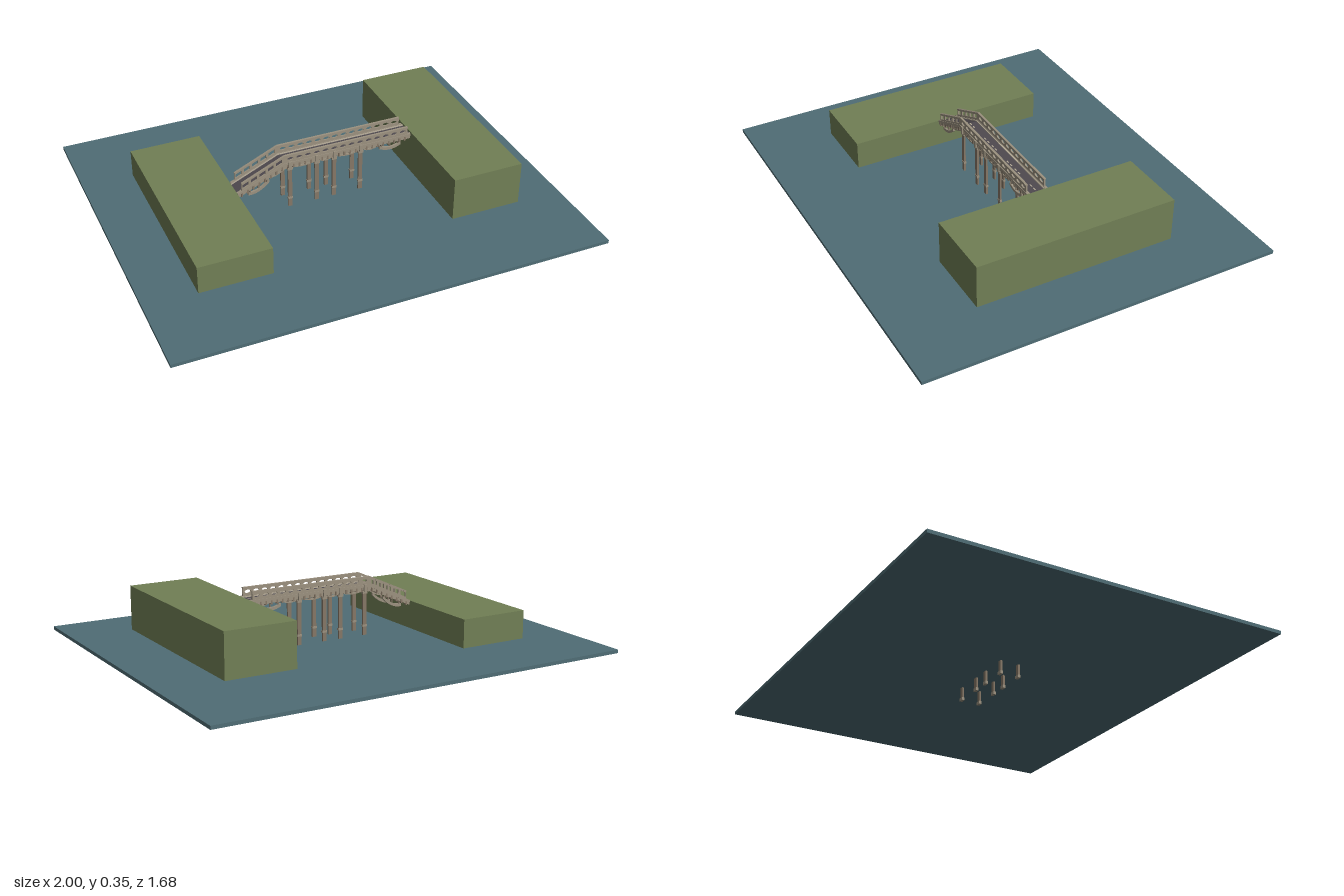
import * as THREE from 'three';

const mat = (name, color) => {
  const m = new THREE.MeshStandardMaterial({ color });
  m.name = name;
  return m;
};

// Road height: a ramp on the low bank, then level
const BEND = -0.2;
const roadY = (x) => 0.31 + (x < BEND ? 0.45 * (x - BEND) : 0);

export function createModel() {
  const water = mat('water', 0x4f6d75);
  const land = mat('land', 0x717f55);
  const stone = mat('stone', 0x9b917f);
  const darkStone = mat('dark stone', 0x857766);
  const asphalt = mat('asphalt', 0x4f4a4f);
  const paint = mat('road paint', 0xb5ab98);

  const model = new THREE.Group();
  model.name = 'bridgeScene';

  const add = (name, geo, material, x = 0, y = 0, z = 0) => {
    const mesh = new THREE.Mesh(geo, material);
    mesh.name = name;
    mesh.position.set(x, y, z);
    model.add(mesh);
    return mesh;
  };
  const box = (name, material, w, h, d, x, y, z) =>
    add(name, new THREE.BoxGeometry(w, h, d), material, x, y, z);
  const extrude = (name, shape, material, z, depth) => {
    const geo = new THREE.ExtrudeGeometry(shape, { depth, bevelEnabled: false, curveSegments: 8 });
    return add(name, geo, material, 0, 0, z - depth / 2);
  };

  // Outline that follows the road between two offsets
  const bandShape = (x0, x1, lo, hi) => {
    const xs = x0 < BEND && x1 > BEND ? [x0, BEND, x1] : [x0, x1];
    const pts = xs.map((x) => new THREE.Vector2(x, roadY(x) + lo));
    xs.reverse().forEach((x) => pts.push(new THREE.Vector2(x, roadY(x) + hi)));
    return new THREE.Shape(pts);
  };
  const band = (name, material, x0, x1, lo, hi, z, depth) =>
    extrude(name, bandShape(x0, x1, lo, hi), material, z, depth);

  // Water and the two banks
  box('water', water, 2, 0.016, 1.68, 0, 0.072, 0);
  box('lowBank', land, 0.335, 0.133, 0.945, -0.5925, 0.1455, 0);
  box('highBank', land, 0.332, 0.205, 0.945, 0.59, 0.2175, 0);

  // Road deck, kerbs and lane dashes
  band('road', asphalt, -0.425, 0.425, -0.014, 0, 0, 0.084);
  const dashes = [-0.38, -0.362];
  for (const c of [-0.21, 0, 0.21]) for (const d of [-0.05, -0.02, 0.02, 0.05]) dashes.push(c + d);
  dashes.push(0.366, 0.394);
  for (const x of dashes) band('laneDash', paint, x - 0.008, x + 0.008, 0.0005, 0.0015, 0, 0.006);

  // Crescent rib hanging under the deck; it follows the slope
  const crescent = (x0, x1, top, sag, thick) => {
    const n = 10;
    const outer = [];
    const inner = [];
    for (let i = 0; i <= n; i++) {
      const t = i / n;
      const x = x0 + (x1 - x0) * t;
      const y = roadY(x) + top - sag * 4 * t * (1 - t);
      outer.push(new THREE.Vector2(x, y - thick));
      inner.unshift(new THREE.Vector2(x, y));
    }
    return new THREE.Shape([...outer, ...inner]);
  };

  const pileX = [-0.175, -0.045, 0.04, 0.17];

  for (const s of [1, -1]) {
    const z = s * 0.045;
    band('kerb', paint, -0.425, 0.425, -0.002, 0.004, s * 0.037, 0.006);

    // Pierced parapet
    const parapet = bandShape(-0.405, 0.405, 0, 0.043);
    for (let i = 0; i < 14; i++) {
      const hole = new THREE.Path();
      hole.absellipse(-0.172 + i * 0.0425, roadY(0) + 0.024, 0.015, 0.008, 0, Math.PI * 2, true);
      parapet.holes.push(hole);
    }
    for (let i = 0; i < 5; i++) {
      const x = -0.386 + i * 0.04;
      const hole = bandShape(x - 0.014, x + 0.014, 0.014, 0.034);
      parapet.holes.push(new THREE.Path(hole.getPoints().reverse()));
    }
    extrude('parapet', parapet, stone, z, 0.007);
    band('handrail', stone, -0.405, 0.405, 0.04, 0.045, z, 0.011);
    band('parapetFoot', stone, -0.425, 0.42, -0.004, 0.006, z, 0.013);

    // Fascia girder with small brackets
    band('fascia', stone, -0.425, 0.42, -0.018, -0.004, z, 0.009);
    for (let i = 0; i < 30; i++) {
      const x = -0.405 + i * 0.0275;
      band('bracket', darkStone, x - 0.004, x + 0.004, -0.024, -0.006, z, 0.013);
    }

    // Scalloped arches between the piles and hanging ribs beyond them
    for (const [a, b] of [[-0.27, -0.19], [-0.16, -0.06], [-0.03, 0.025], [0.055, 0.155], [0.185, 0.25]]) {
      extrude('scallop', crescent(a, b, -0.016, 0.007, 0.007), stone, z, 0.009);
    }
    for (const [a, b] of [[-0.375, -0.275], [0.265, 0.37]]) {
      extrude('hangingRib', crescent(a, b, -0.025, 0.014, 0.014), stone, z, 0.01);
      for (const x of [a + 0.01, (a + b) / 2, b - 0.01]) {
        band('ribHanger', darkStone, x - 0.003, x + 0.003, -0.036, -0.016, z, 0.007);
      }
    }

    // Piles with a cap, a collar and a foot
    for (const x of pileX) {
      box('pile', darkStone, 0.019, 0.285, 0.009, x, 0.1475, z);
      box('pileCap', stone, 0.025, 0.012, 0.015, x, 0.282, z);
      box('pileCollar', stone, 0.023, 0.01, 0.012, x, 0.125, z);
      box('pileFoot', stone, 0.024, 0.014, 0.013, x, 0.007, z);
      box('pileButtress', stone, 0.014, 0.035, 0.008, x, 0.302, s * 0.052);
    }
  }

  // Cross beams under the deck
  for (const x of pileX) box('crossBeam', darkStone, 0.014, 0.012, 0.085, x, 0.286, 0);

  return model;
}
